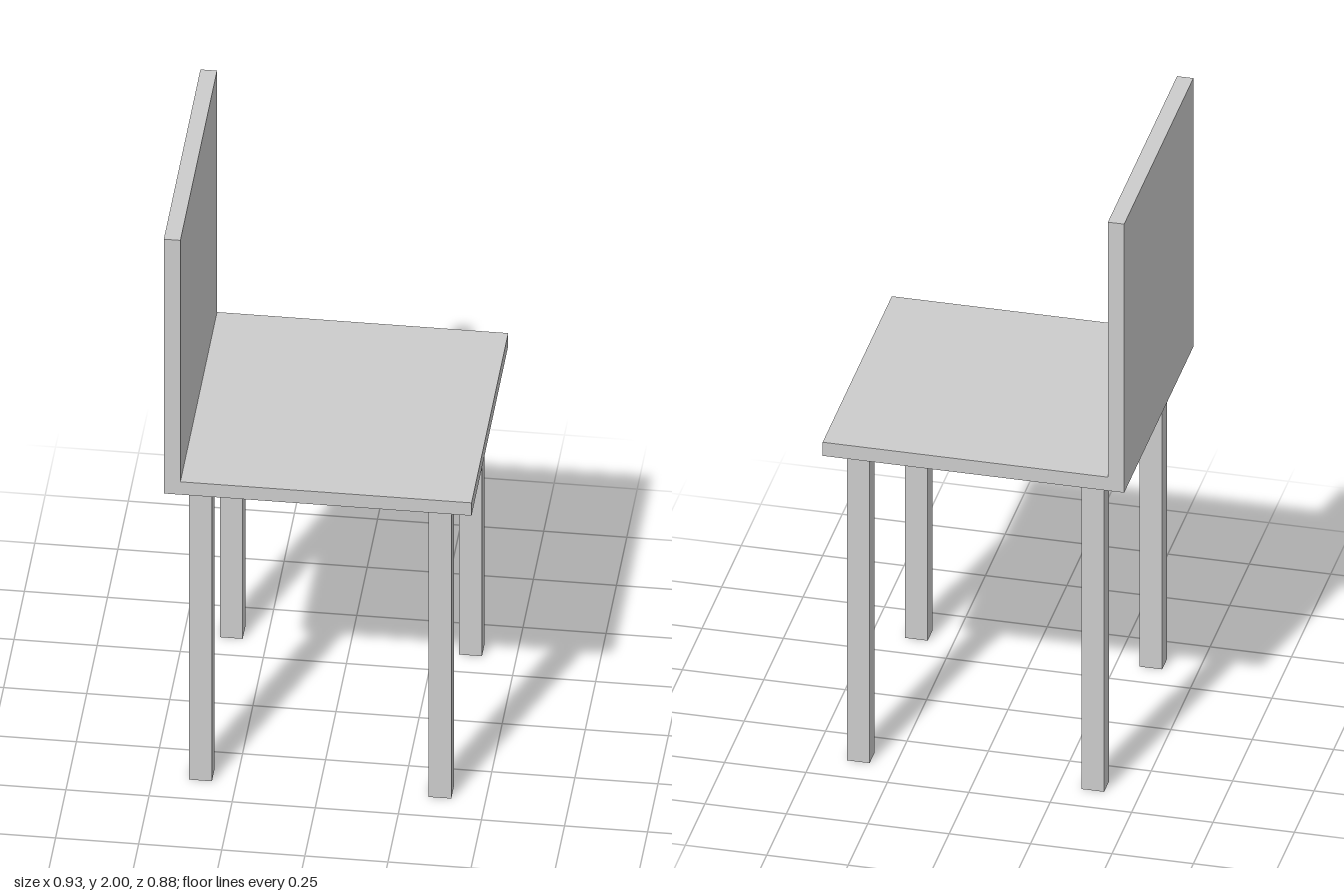
import * as THREE from 'three';

export function createModel() {
  const chair = new THREE.Group();
  chair.name = 'chair';
  const material = new THREE.MeshStandardMaterial({ color: 0xcccccc, flatShading: true });

  // Adds a box given its extents along each axis
  const addBox = (name, [x0, x1], [y0, y1], [z0, z1]) => {
    const mesh = new THREE.Mesh(new THREE.BoxGeometry(x1 - x0, y1 - y0, z1 - z0), material);
    mesh.position.set((x0 + x1) / 2, (y0 + y1) / 2, (z0 + z1) / 2);
    mesh.name = name;
    chair.add(mesh);
  };

  const halfLength = 0.463, halfWidth = 0.441;
  const seatBottom = 1.069, seatTop = 1.116, backFace = -0.413;

  // Seat board, butting against the upright backrest
  addBox('seat', [backFace, halfLength], [seatBottom, seatTop], [-halfWidth, halfWidth]);
  addBox('backrest', [-halfLength, backFace], [seatBottom, 2], [-halfWidth, halfWidth]);

  // Four square legs; the chair faces +x
  const legRows = { rear: [-0.392, -0.323], front: [0.328, 0.397] };
  for (const [row, xRange] of Object.entries(legRows)) {
    addBox(`${row}LegA`, xRange, [0, seatBottom], [0.338, 0.402]);
    addBox(`${row}LegB`, xRange, [0, seatBottom], [-0.402, -0.338]);
  }

  return chair;
}
